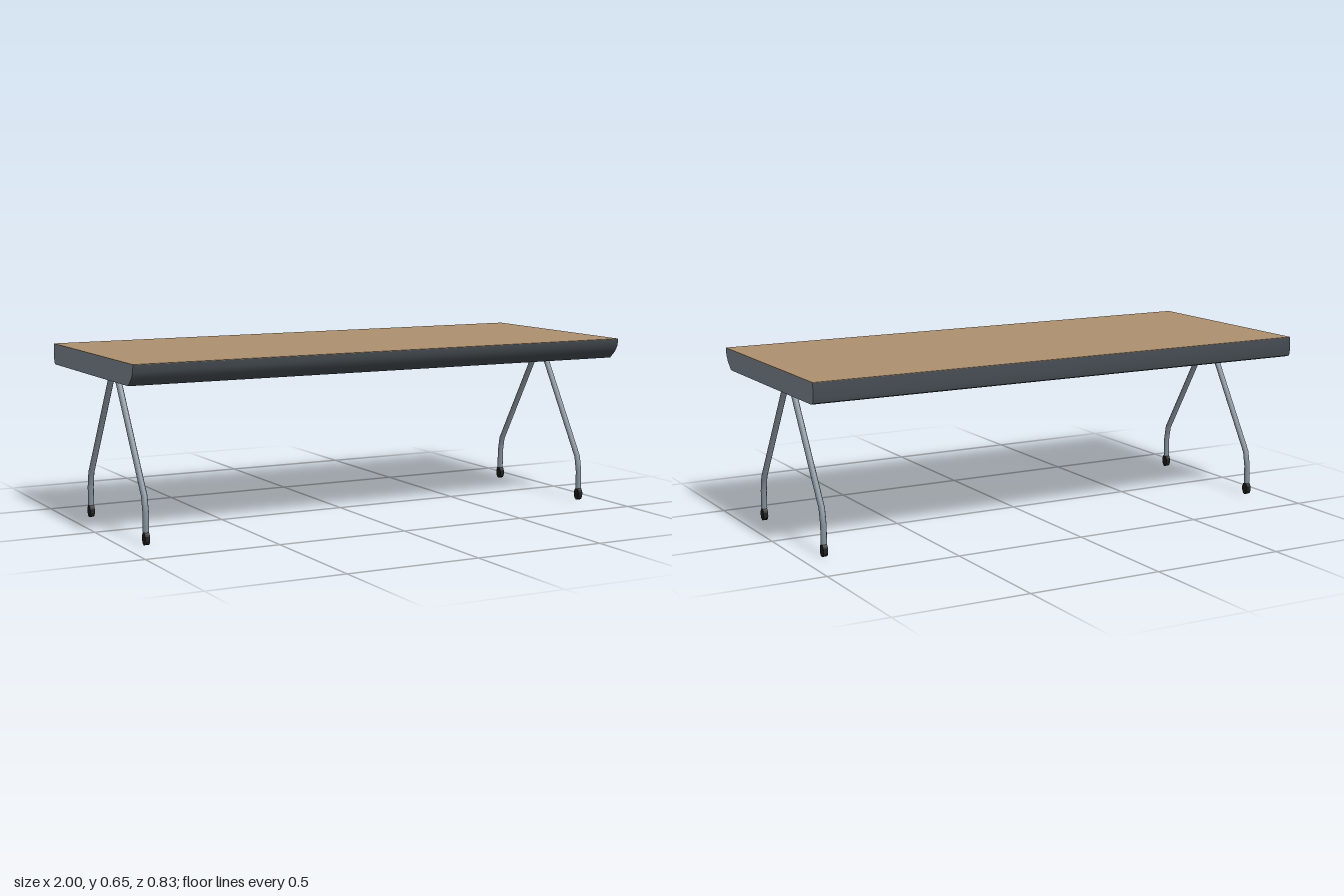
import * as THREE from 'three';
import { toCreasedNormals } from 'three/addons/utils/BufferGeometryUtils.js';

const material = (name, color) => {
  const m = new THREE.MeshStandardMaterial({ color });
  m.name = name;
  return m;
};

// Path with mitred corners: one tube ring per point
class BentPath extends THREE.Curve {
  constructor(points) {
    super();
    this.points = points;
  }
  getPointAt(u) {
    return this.points[Math.round(u * (this.points.length - 1))].clone();
  }
  getTangentAt(u) {
    const p = this.points, i = Math.round(u * (p.length - 1));
    const t = new THREE.Vector3();
    if (i > 0) t.add(p[i].clone().sub(p[i - 1]).normalize());
    if (i < p.length - 1) t.add(p[i + 1].clone().sub(p[i]).normalize());
    return t.normalize();
  }
}

export function createModel() {
  const wood = material('wood', 0xae9070);
  const steel = material('steel', 0x84909a);
  const darkEdge = material('dark edge', 0x464d53);
  const rubber = material('black rubber', 0x1e1e1e);

  const model = new THREE.Group();
  model.name = 'table';
  const add = (parent, name, geometry, mat) => {
    const mesh = new THREE.Mesh(geometry, mat);
    mesh.name = name;
    parent.add(mesh);
    return mesh;
  };

  // Slab: [z, y] section with a curved front lip, extruded along x
  const section = [
    [0.415, 0.646], [0.411, 0.62], [0.396, 0.597], [0.366, 0.57],
    [-0.398, 0.57], [-0.411, 0.575], [-0.415, 0.592], [-0.415, 0.646],
  ];
  const shape = new THREE.Shape(section.map(([z, y]) => new THREE.Vector2(-z, y)));
  const slab = new THREE.ExtrudeGeometry(shape, { depth: 2, bevelEnabled: false });
  slab.rotateY(Math.PI / 2).translate(-1, 0, 0);
  add(model, 'slab', toCreasedNormals(slab, 0.7), [steel, darkEdge]);

  // Wooden surface
  add(model, 'tabletop', new THREE.BoxGeometry(2, 0.002, 0.83), wood).position.y = 0.647;

  // Bent tube legs with flattened oval feet
  const addLeg = (parent, name, path) => {
    const leg = new THREE.Group();
    leg.name = name;
    parent.add(leg);
    const points = path.map(([z, y]) => new THREE.Vector3(0, y, z));
    add(leg, 'legTube',
      new THREE.TubeGeometry(new BentPath(points), points.length - 1, 0.0112, 10, false), steel);
    const [z, y] = path[0];
    const cap = add(leg, 'legEnd', new THREE.CircleGeometry(0.0112, 10).rotateX(Math.PI / 2), steel);
    cap.position.set(0, y, z);
    const foot = new THREE.CylinderGeometry(1, 1, 0.018, 10).rotateZ(Math.PI / 2);
    foot.rotateX(Math.PI / 2).scale(1, 0.024, 0.0165);
    add(leg, 'foot', toCreasedNormals(foot, 0.8), rubber).position.set(0, 0.024, z);
  };

  for (const side of [1, -1]) {
    const pair = new THREE.Group();
    pair.name = side > 0 ? 'leftLegs' : 'rightLegs';
    pair.position.x = side * 0.915;
    model.add(pair);
    addLeg(pair, 'frontLeg', [[0.29, 0.046], [0.29, 0.115], [0.279, 0.172], [0.028, 0.575]]);
    addLeg(pair, 'backLeg', [[-0.276, 0.046], [-0.276, 0.115], [-0.265, 0.172], [-0.014, 0.575]]);
  }
  return model;
}
